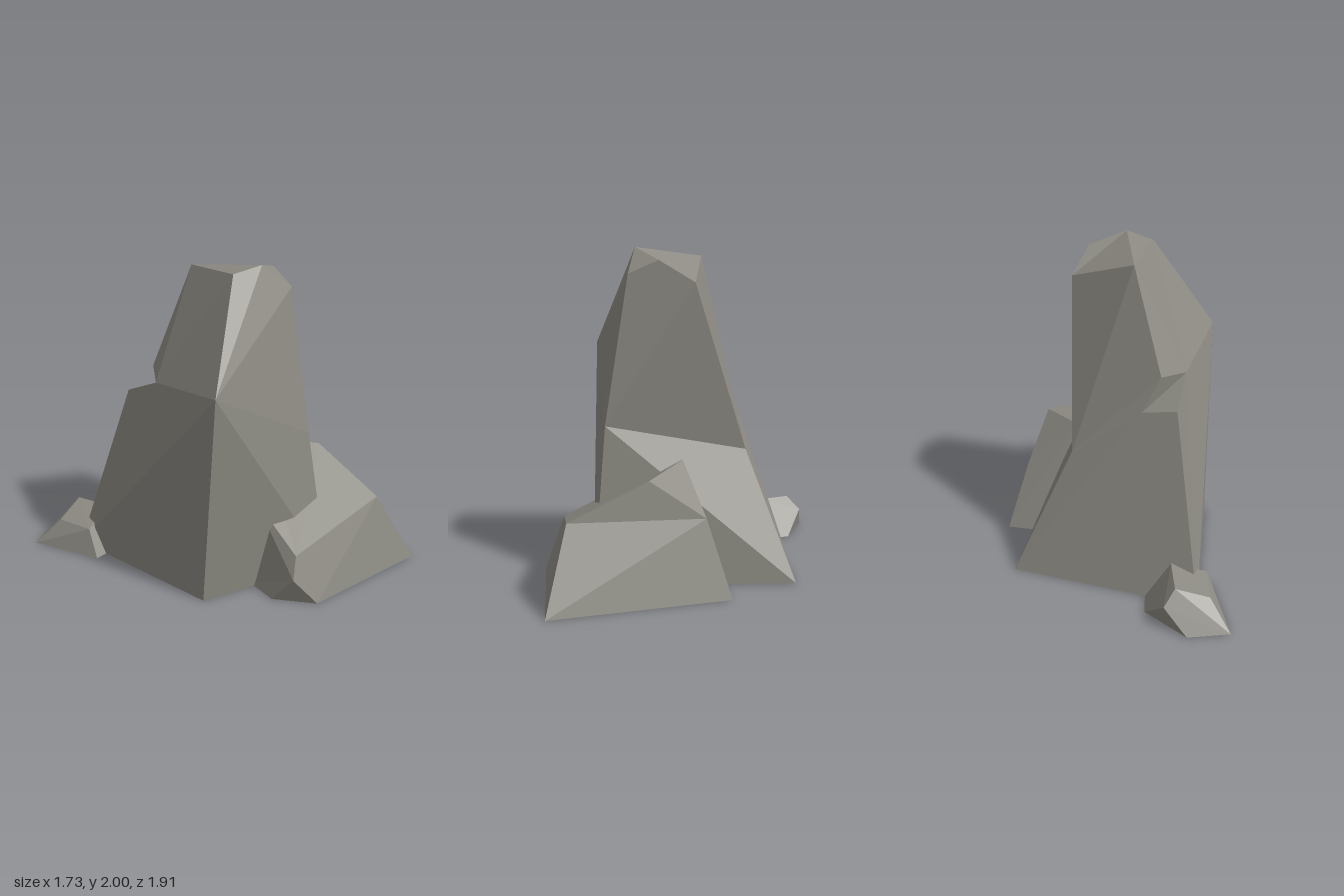
import * as THREE from 'three';
import { ConvexGeometry } from 'three/addons/geometries/ConvexGeometry.js';

const stone = new THREE.MeshStandardMaterial({ color: 0x8c8a82, flatShading: true });
stone.name = 'warm grey stone';

// Named corners joined by counter-clockwise faces, each cut into a triangle fan
function facetedGeometry(corners, faces) {
  const positions = [];
  for (const face of faces) {
    const loop = face.split(' ').map((key) => corners[key]);
    for (let i = 1; i < loop.length - 1; i++) {
      positions.push(...loop[0], ...loop[i], ...loop[i + 1]);
    }
  }
  const geometry = new THREE.BufferGeometry();
  geometry.setAttribute('position', new THREE.Float32BufferAttribute(positions, 3));
  geometry.computeVertexNormals();
  return geometry;
}

function addRock(group, name, geometry) {
  const mesh = new THREE.Mesh(geometry, stone);
  mesh.name = name;
  group.add(mesh);
}

export function createModel() {
  const group = new THREE.Group();
  group.name = 'rockFormation';

  // Tall spire with a chipped notch on its back corner
  const spire = {
    // base
    frontA: [-0.49, 0, 0.4], frontB: [0.37, 0, 0.635],
    backB: [0.565, 0, -0.57], backA: [-0.63, 0, -0.67],
    // shoulders
    shoulderA: [-0.48, 1.37, 0.5], shoulderB: [0.26, 0.95, 0.54], shoulderC: [0.24, 0.77, -0.33],
    // notch
    ledge: [-0.42, 1.15, -0.36], notchIn: [-0.2, 1.1, -0.33],
    notchTop: [-0.3, 1.31, -0.26], notchSide: [-0.42, 1.28, -0.09],
    // crown
    c1: [-0.13, 1.97, 0.27], c2: [0.05, 2, 0.32], c3: [0.26, 1.93, 0.21],
    c4: [0.31, 1.8, 0], c5: [-0.1, 1.94, -0.12], chip: [0.23, 1.85, 0.39],
  };
  addRock(group, 'spire', facetedGeometry(spire, [
    'c2 c3 c4 c5 c1',
    'c2 chip c3',
    'shoulderA shoulderB chip c2 c1',
    'frontB shoulderB shoulderA frontA',
    'shoulderB shoulderC c4 c3 chip',
    'shoulderB frontB backB shoulderC',
    'shoulderC notchIn notchTop c5 c4',
    'backB backA ledge notchIn shoulderC',
    'notchIn notchSide notchTop',
    'notchIn ledge notchSide',
    'notchSide shoulderA c1 c5 notchTop',
    'backA frontA shoulderA notchSide ledge',
    'backA backB frontB frontA',
  ]));

  // Low boulder leaning on the front of the spire
  const boulder = {
    // top
    peak: [0.32, 0.74, 0.08], ridge: [0.6, 0.69, 0.33], dip: [0.64, 0.46, 0],
    browB: [0.63, 0.475, 0.81], browA: [-0.07, 0.31, 0.77],
    cheek: [-0.13, 0.18, 0.81], inner: [-0.03, 0.52, 0.38],
    // base
    b1: [-0.17, 0, 0.67], b2: [0, 0, 0.895], b3: [0.865, 0, 0.955],
    b4: [0.76, 0, -0.13], b5: [0.2, 0, -0.1], b6: [-0.14, 0, 0.45],
  };
  addRock(group, 'frontBoulder', facetedGeometry(boulder, [
    'browA browB ridge peak inner',
    'peak ridge dip',
    'ridge browB dip',
    'dip browB b3 b4',
    'b2 b3 browB browA cheek',
    'b1 b2 cheek',
    'cheek browA inner b6 b1',
    'b4 b5 peak dip',
    'b5 b6 inner peak',
    'b6 b5 b4 b3 b2 b1',
  ]));

  // Small stone at the back corner
  const stonePoints = [
    [-0.72, 0.165, -0.77], [-0.52, 0.235, -0.83], [-0.45, 0.24, -0.6], [-0.66, 0.17, -0.53],
    [-0.47, 0.15, -0.91], [-0.865, 0, -0.87], [-0.62, 0, -0.96], [-0.33, 0, -0.79],
    [-0.3, 0, -0.64], [-0.68, 0, -0.43], [-0.5, 0, -0.45],
  ];
  addRock(group, 'backStone',
    new ConvexGeometry(stonePoints.map((p) => new THREE.Vector3(...p))));

  return group;
}
